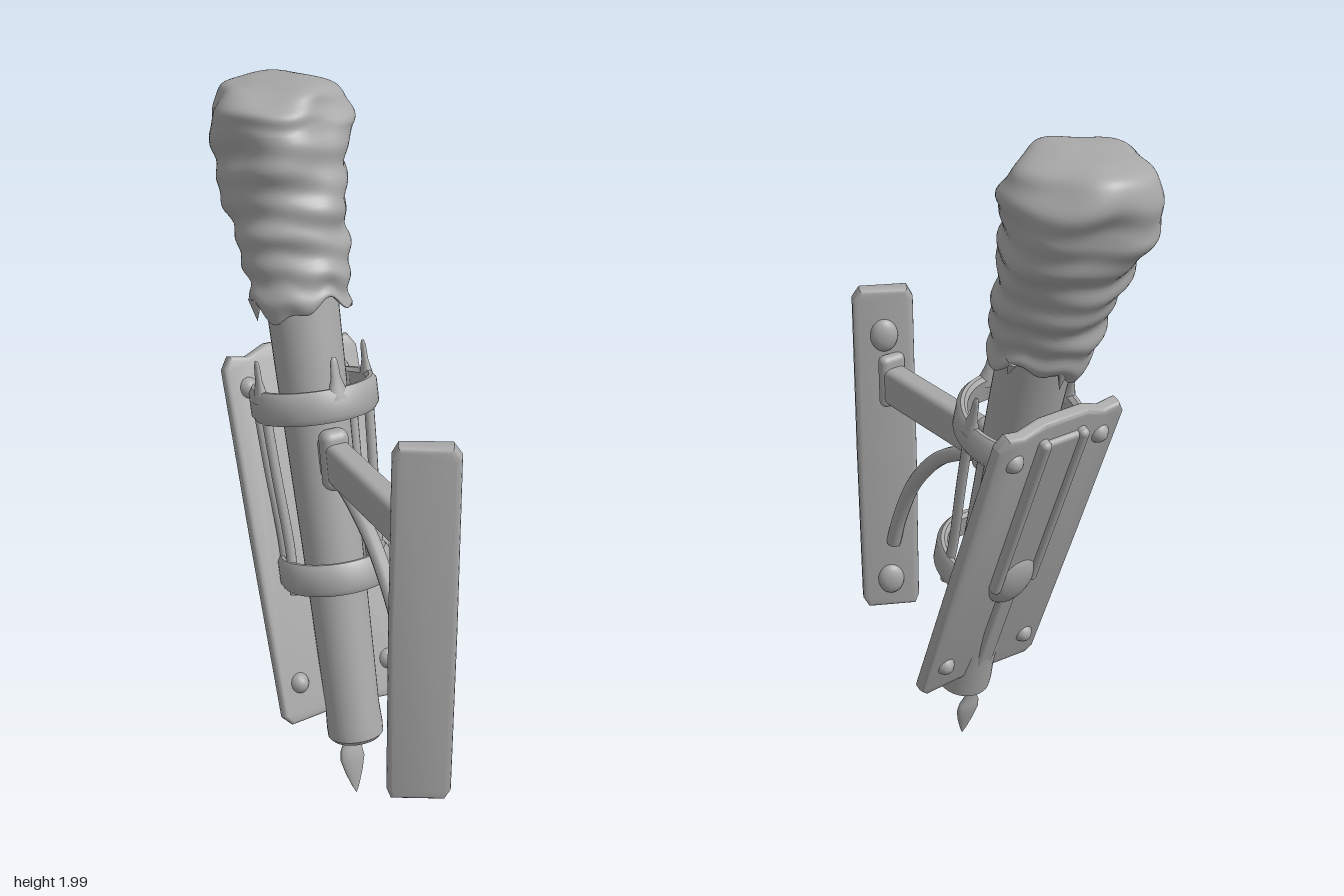
import * as THREE from 'three';
import { mergeVertices, toCreasedNormals } from 'three/addons/utils/BufferGeometryUtils.js';
import { RoundedBoxGeometry } from 'three/addons/geometries/RoundedBoxGeometry.js';

const grey = new THREE.MeshStandardMaterial({ color: 0xa8a8a8, side: THREE.DoubleSide });
grey.name = 'plain grey';

function add(parent, name, geometry, x = 0, y = 0, z = 0) {
  const mesh = new THREE.Mesh(geometry, grey);
  mesh.name = name;
  mesh.position.set(x, y, z);
  parent.add(mesh);
  return mesh;
}

function addGroup(parent, name, x, y, z, tiltX = 0, turnY = 0) {
  const g = new THREE.Group();
  g.name = name;
  g.position.set(x, y, z);
  g.rotation.set(tiltX, turnY, 0);
  parent.add(g);
  return g;
}

const lathe = (points, segments = 32, start = 0, length = Math.PI * 2) =>
  new THREE.LatheGeometry(points.map(p => new THREE.Vector2(...p)), segments, start, length);

const tube = (points, radius, segments = 24) =>
  new THREE.TubeGeometry(new THREE.CatmullRomCurve3(points.map(p => new THREE.Vector3(...p))), segments, radius, 10);

// Displace welded vertices by a rule, then smooth
function deform(geometry, rule) {
  geometry.deleteAttribute('uv');
  geometry.deleteAttribute('normal');
  const g = mergeVertices(geometry, 1e-4);
  const p = g.attributes.position, v = new THREE.Vector3();
  for (let i = 0; i < p.count; i++) {
    rule(v.fromBufferAttribute(p, i));
    p.setXYZ(i, v.x, v.y, v.z);
  }
  g.computeVertexNormals();
  return g;
}

// Bevelled slab with a closed outline, centred through its thickness
function slab(outline, depth, bevel) {
  const shape = new THREE.Shape(outline.map(p => new THREE.Vector2(...p)));
  const g = new THREE.ExtrudeGeometry(shape, {
    depth: depth - 2 * bevel, bevelThickness: bevel, bevelSize: bevel, bevelOffset: -bevel, bevelSegments: 3,
  });
  g.translate(0, 0, bevel - depth / 2);
  return toCreasedNormals(g, 0.6);
}

// Crumpled cloth wrapped round the torch head
function clothGeometry() {
  const profile = new THREE.CatmullRomCurve3([
    [0.1, 1.29], [0.128, 1.255], [0.136, 1.3], [0.142, 1.38], [0.153, 1.47], [0.165, 1.56], [0.18, 1.66],
    [0.188, 1.74], [0.178, 1.8], [0.145, 1.845], [0.08, 1.862], [0, 1.865],
  ].map(([r, y]) => new THREE.Vector3(r, y, 0)));
  const points = profile.getPoints(90).map(p => [Math.max(p.x, 0), p.y]);
  points[points.length - 1][0] = 0;
  return deform(lathe(points, 72), v => {
    const a = Math.atan2(v.x, v.z), s = v.y;
    const r = Math.hypot(v.x, v.z);
    const up = THREE.MathUtils.clamp((s - 1.26) / 0.45, 0, 1);
    // Slanting folds low down, broad lumps higher up
    const folds = (1 - 0.65 * up) * 0.007 * Math.sin(s * 75 + 1.6 * Math.sin(a + 0.5) + Math.sin(2 * a))
      + 0.005 * Math.sin(s * 38 - 2 * a + 1);
    const lumps = up * (0.008 * Math.sin(3 * a + s * 9) + 0.007 * Math.sin(5 * a - s * 14 + 2));
    const k = 1 + (folds + lumps) / 0.16;
    v.x = v.x * k + 0.016 * up;
    v.z = v.z * k - 0.005 - 0.04 * up;
    // Ragged hem and a top that rises towards the back
    v.y += (1 - up) ** 6 * (0.02 * Math.sin(3 * a + 1) + 0.012 * Math.sin(7 * a));
    if (s > 1.72) v.y += -0.2 * v.z * (s - 1.72) / 0.145 - 0.012 * (s - 1.72) / 0.145 + 0.006 * Math.sin(30 * v.x) * (r / 0.18);
  });
}

function buildTorch(root) {
  const torch = addGroup(root, 'torch', -0.005, 0.2, 0.125, -0.268);
  add(torch, 'pole', toCreasedNormals(lathe([
    [0, 0], [0.068, 0], [0.079, 0.012], [0.08, 0.04], [0.077, 0.1], [0.085, 0.6], [0.096, 1.1], [0.1, 1.35], [0, 1.36],
  ]), 0.7));
  add(torch, 'clothWrap', clothGeometry());

  // Loose rag ends below the hem
  for (const [a, len] of [[Math.PI * 0.95, 0.09], [-1.7, 0.06], [1.9, 0.05]]) {
    const rag = add(torch, 'ragEnd', new THREE.ConeGeometry(0.032, len, 10), Math.sin(a) * 0.13, 1.265, Math.cos(a) * 0.13);
    rag.rotation.set(Math.PI, a, 0);
    rag.scale.z = 0.4;
  }

  // Open bands holding the pole
  const bands = [['lowerBand', 0.52, 0.157], ['upperBand', 1.006, 0.176]];
  for (const [name, s, r] of bands) {
    const t = 0.03, h = 0.045;
    add(torch, name, toCreasedNormals(lathe([
      [r - t, -h + 0.01], [r - t + 0.01, -h], [r - 0.01, -h], [r, -h + 0.015],
      [r, h - 0.015], [r - 0.01, h], [r - t + 0.01, h], [r - t, h - 0.01], [r - t, -h + 0.01],
    ], 40, -2.2, 4.4), 0.7), 0, s, 0);
  }

  // Points rising from the upper band
  for (const a of [-1.5, 0, 1.5]) {
    const point = add(torch, 'bandPoint', lathe([
      [0.032, 0], [0.024, 0.03], [0.014, 0.06], [0.011, 0.1], [0.006, 0.113], [0, 0.115],
    ], 14), Math.sin(a) * 0.16, 1.02, Math.cos(a) * 0.16);
    point.rotation.y = a;
    point.scale.z = 0.6;
  }

  // Thin rods joining the two bands
  for (const side of [-1, 1]) {
    for (const a of [1.45, 2.0]) {
      const x = side * Math.sin(a), z = Math.cos(a);
      add(torch, 'rod', tube([
        [x * 0.138, 0.47, z * 0.138], [x * 0.135, 0.6, z * 0.135],
        [x * 0.148, 0.82, z * 0.148], [x * 0.158, 1.04, z * 0.158],
      ], 0.014));
    }
  }
}

function buildBackPlate(root) {
  const plate = addGroup(root, 'backPlate', -0.005, 0.765, -0.122, -0.372);
  const half = [[0.06, -0.525], [0.18, -0.535], [0.203, -0.51], [0.205, 0], [0.203, 0.49], [0.18, 0.525], [0.13, 0.515], [0.07, 0.54]];
  const mirror = half.map(([x, y]) => [-x, y]).reverse();
  add(plate, 'board', slab([...half, ...mirror], 0.04, 0.012));

  // Raised spine on the back
  for (const side of [-1, 1]) {
    add(plate, 'spineRidge', new RoundedBoxGeometry(0.03, 0.6, 0.05, 3, 0.014), side * 0.062, 0.19, -0.022);
  }
  add(plate, 'spine', new RoundedBoxGeometry(0.13, 0.6, 0.035, 3, 0.012), 0, 0.18, -0.018);
  add(plate, 'spineBulge', new THREE.SphereGeometry(1, 24, 16), 0, -0.09, -0.015).scale.set(0.075, 0.1, 0.042);
  add(plate, 'lowerSpine', new RoundedBoxGeometry(0.06, 0.46, 0.04, 3, 0.014), 0, -0.3, -0.016);

  // Rivets at the corners, front and back
  for (const x of [-0.14, 0.14]) {
    for (const y of [-0.42, 0.43]) {
      add(plate, 'rivet', new THREE.SphereGeometry(1, 16, 12), x, y, 0).scale.set(0.031, 0.034, 0.042);
    }
  }
}

function buildWallBracket(root) {
  const bracket = addGroup(root, 'wallBracket', -0.012, 0, 0);

  // Slightly turned wall plate with tapered ends
  const wall = addGroup(bracket, 'wallPlateMount', -0.003, 0.8, 0.513, 0, -0.49);
  add(wall, 'wallPlate', slab([
    [-0.075, -0.53], [0.07, -0.53], [0.086, -0.5], [0.088, 0], [0.086, 0.5], [0.065, 0.53],
    [-0.07, 0.53], [-0.086, 0.5], [-0.088, 0], [-0.086, -0.5],
  ], 0.052, 0.014));
  for (const y of [-0.43, 0.39]) {
    add(wall, 'wallRivet', new THREE.SphereGeometry(1, 16, 12), 0, y, -0.025).scale.set(0.04, 0.05, 0.025);
  }

  // Arm with a flange at each end
  add(bracket, 'arm', new RoundedBoxGeometry(0.07, 0.115, 0.54, 3, 0.02), 0, 1.043, 0.21);
  add(bracket, 'wallFlange', new RoundedBoxGeometry(0.08, 0.16, 0.04, 3, 0.018), 0, 1.055, 0.47);
  add(bracket, 'poleFlange', new RoundedBoxGeometry(0.08, 0.17, 0.06, 3, 0.025), 0, 1.045, 0.005).rotation.x = -0.2;

  // Curved brace below the arm
  add(bracket, 'brace', tube([
    [0, 0.5, 0.485], [0, 0.61, 0.445], [0, 0.76, 0.365], [0, 0.89, 0.245], [0, 0.965, 0.12], [0, 1.0, 0.02],
  ], 0.022, 36));
}

function buildPendant(root) {
  // Flat leaf hanging from the foot of the back plate
  const pendant = addGroup(root, 'pendant', -0.005, 0, 0.13, -0.257);
  add(pendant, 'leaf', lathe([
    [0, 0], [0.012, 0.025], [0.028, 0.07], [0.038, 0.11], [0.034, 0.14], [0.02, 0.17],
    [0.03, 0.19], [0.032, 0.21], [0.02, 0.24], [0.018, 0.4], [0, 0.41],
  ], 24)).scale.z = 0.4;
}

export function createModel() {
  const root = new THREE.Group();
  root.name = 'wallTorch';
  buildTorch(root);
  buildBackPlate(root);
  buildWallBracket(root);
  buildPendant(root);
  return root;
}
